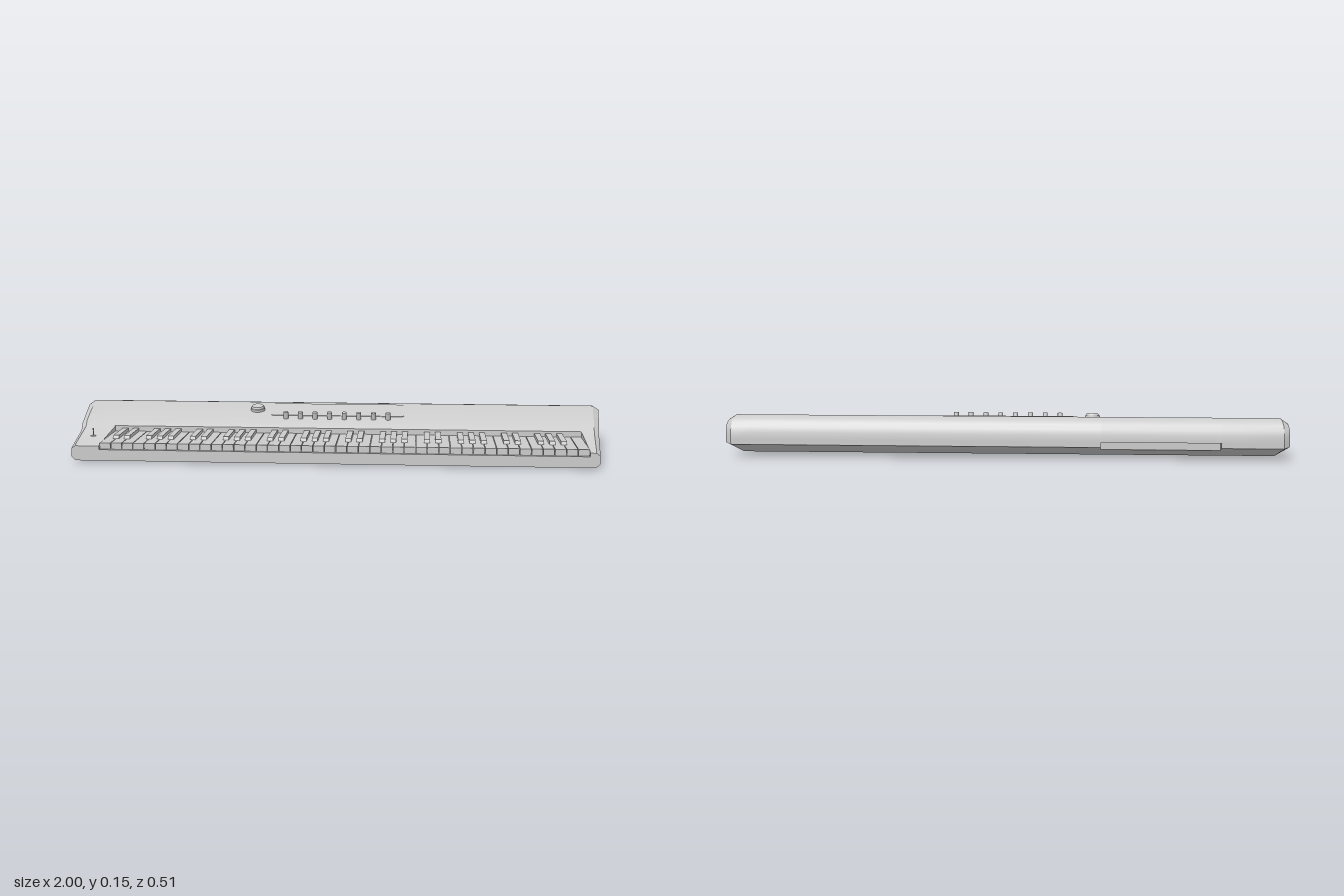
import * as THREE from 'three';
import { toCreasedNormals } from 'three/addons/utils/BufferGeometryUtils.js';

const grey = new THREE.MeshStandardMaterial({ color: 0xcccccc });

function add(parent, name, geometry, x = 0, y = 0, z = 0) {
  const mesh = new THREE.Mesh(geometry, grey);
  mesh.name = name;
  mesh.position.set(x, y, z);
  parent.add(mesh);
  return mesh;
}

// Side profile as [z, y]: up the front, back over the top, down the rear, along the bottom
const full = [
  [0.258, 0.005], [0.258, 0.058], [0.25, 0.062], [0.03, 0.085], [0.025, 0.088], [0, 0.105],
  [-0.175, 0.144], [-0.195, 0.147], [-0.212, 0.145], [-0.228, 0.138], [-0.241, 0.126],
  [-0.25, 0.11], [-0.257, 0.09], [-0.257, 0.065], [-0.257, 0.047], [-0.225, 0.035],
  [-0.135, 0.002], [0.05, 0],
];
// Smaller outline of the flat end faces, point for point
const cap = [
  [0.258, 0.018], [0.258, 0.048], [0.245, 0.05], [0.03, 0.069], [0.025, 0.072], [-0.005, 0.092],
  [-0.165, 0.127], [-0.185, 0.131], [-0.202, 0.131], [-0.216, 0.127], [-0.228, 0.118],
  [-0.236, 0.107], [-0.24, 0.092], [-0.24, 0.068], [-0.24, 0.052], [-0.215, 0.043],
  [-0.135, 0.015], [0.05, 0.016],
];
const replace = (profile, changes) => profile.map((p, i) => changes[i] || p);
// Keybed cut into the top, and connector recess cut into the lower rear edge
const well = replace(full, { 1: [0.258, 0.045], 2: [0.25, 0.045], 3: [0.025, 0.045] });
const recess = replace(well, { 14: [-0.225, 0.062] });

const KEY_LEFT = -0.835, KEY_RIGHT = 0.9;

function bodyGeometry() {
  const halfWidth = (z) => 1 - 0.065 * (z + 0.257) / 0.515;
  const rimInset = (z) => 0.024 - 0.01 * (z + 0.257) / 0.515;
  const tapered = (profile, side, inset) =>
    profile.map(([z, y]) => new THREE.Vector3(side * (halfWidth(z) - inset(z)), y, z));
  const flat = (profile, x) => profile.map(([z, y]) => new THREE.Vector3(x, y, z));
  const none = () => 0;
  const rings = [
    tapered(cap, -1, none), tapered(full, -1, rimInset),
    flat(full, KEY_LEFT), flat(well, KEY_LEFT),
    flat(well, -0.76), flat(recess, -0.76), flat(recess, -0.34), flat(well, -0.34),
    flat(well, KEY_RIGHT), flat(full, KEY_RIGHT),
    tapered(full, 1, rimInset), tapered(cap, 1, none),
  ];
  const pos = [];
  const tri = (a, b, c) => {
    if (new THREE.Triangle(a, b, c).getArea() > 1e-9) {
      for (const p of [a, b, c]) pos.push(p.x, p.y, p.z);
    }
  };
  const n = full.length;
  for (let i = 0; i < rings.length - 1; i++) {
    for (let j = 0; j < n; j++) {
      const k = (j + 1) % n, r = rings[i], s = rings[i + 1];
      tri(r[j], s[j], s[k]);
      tri(r[j], s[k], r[k]);
    }
  }
  // Flat end faces
  const outline = cap.map(([z, y]) => new THREE.Vector2(-z, y));
  for (const [a, b, c] of THREE.ShapeUtils.triangulateShape(outline.slice(), [])) {
    const ccw = THREE.ShapeUtils.area([outline[a], outline[b], outline[c]]) > 0;
    const [p, q] = ccw ? [b, c] : [c, b];
    const right = rings[0], left = rings[rings.length - 1];
    tri(left[a], left[p], left[q]);
    tri(right[a], right[q], right[p]);
  }
  const geometry = new THREE.BufferGeometry();
  geometry.setAttribute('position', new THREE.Float32BufferAttribute(pos, 3));
  return toCreasedNormals(geometry, 0.5);
}

function roundedPlate(w, d, r, thickness) {
  const s = new THREE.Shape(), x = w / 2, y = d / 2;
  s.absarc(x - r, y - r, r, 0, Math.PI / 2);
  s.absarc(-x + r, y - r, r, Math.PI / 2, Math.PI);
  s.absarc(-x + r, -y + r, r, Math.PI, Math.PI * 1.5);
  s.absarc(x - r, -y + r, r, Math.PI * 1.5, Math.PI * 2);
  return new THREE.ExtrudeGeometry(s, { depth: thickness, bevelEnabled: false, curveSegments: 6 })
    .rotateX(-Math.PI / 2);
}

function blackKeyGeometry() {
  // Side shape with a sloped front end, extruded across the key width
  const s = new THREE.Shape([[-0.172, 0.066], [-0.167, 0.08], [-0.026, 0.08], [-0.026, 0.066]]
    .map(([x, y]) => new THREE.Vector2(x, y)));
  return new THREE.ExtrudeGeometry(s, { depth: 0.021, bevelEnabled: false })
    .translate(0, 0, -0.0105).rotateY(Math.PI / 2);
}

export function createModel() {
  const model = new THREE.Group();
  model.name = 'keyboard';
  add(model, 'body', bodyGeometry());

  // Six octaves plus the closing note
  const keys = new THREE.Group();
  keys.name = 'keys';
  model.add(keys);
  const count = 43, pitch = (KEY_RIGHT - KEY_LEFT) / count;
  const white = new THREE.BoxGeometry(pitch - 0.002, 0.023, 0.222);
  const black = blackKeyGeometry();
  for (let i = 0; i < count; i++) {
    add(keys, 'whiteKey', white, KEY_LEFT + (i + 0.5) * pitch, 0.0565, 0.137);
    if (i < count - 1 && ![2, 6].includes(i % 7)) {
      add(keys, 'blackKey', black, KEY_LEFT + (i + 1) * pitch, 0, 0);
    }
  }

  // Control panel follows the slope of the top
  const panel = new THREE.Group();
  panel.name = 'controlPanel';
  panel.position.set(0, 0.105, 0);
  panel.rotation.x = Math.atan(0.039 / 0.175);
  model.add(panel);
  add(panel, 'display', roundedPlate(0.505, 0.116, 0.012, 0.004), -0.003, -0.002, -0.121);
  const knob = new THREE.CylinderGeometry(0.009, 0.009, 0.028, 20);
  for (let i = 0; i < 8; i++) add(panel, 'smallKnob', knob, -0.195 + i * 0.055, 0.012, -0.038);
  const dial = new THREE.Group();
  dial.name = 'dial';
  dial.position.set(-0.312, 0, -0.117);
  panel.add(dial);
  add(dial, 'dialBase', new THREE.CylinderGeometry(0.027, 0.027, 0.012, 32), 0, 0.004, 0);
  add(dial, 'dialTop', new THREE.CylinderGeometry(0.021, 0.024, 0.007, 32), 0, 0.0135, 0);

  // Joystick beside the lowest keys
  const joystick = new THREE.Group();
  joystick.name = 'joystick';
  joystick.position.set(-0.885, 0.072, 0.145);
  model.add(joystick);
  add(joystick, 'joystickBase', new THREE.CylinderGeometry(0.009, 0.011, 0.004, 20), 0, 0.001, 0);
  add(joystick, 'joystickStem', new THREE.CylinderGeometry(0.0016, 0.0016, 0.022, 12), 0, 0.011, 0);
  add(joystick, 'joystickHead', new THREE.CylinderGeometry(0.003, 0.002, 0.007, 12), 0, 0.0245, 0);
  return model;
}
